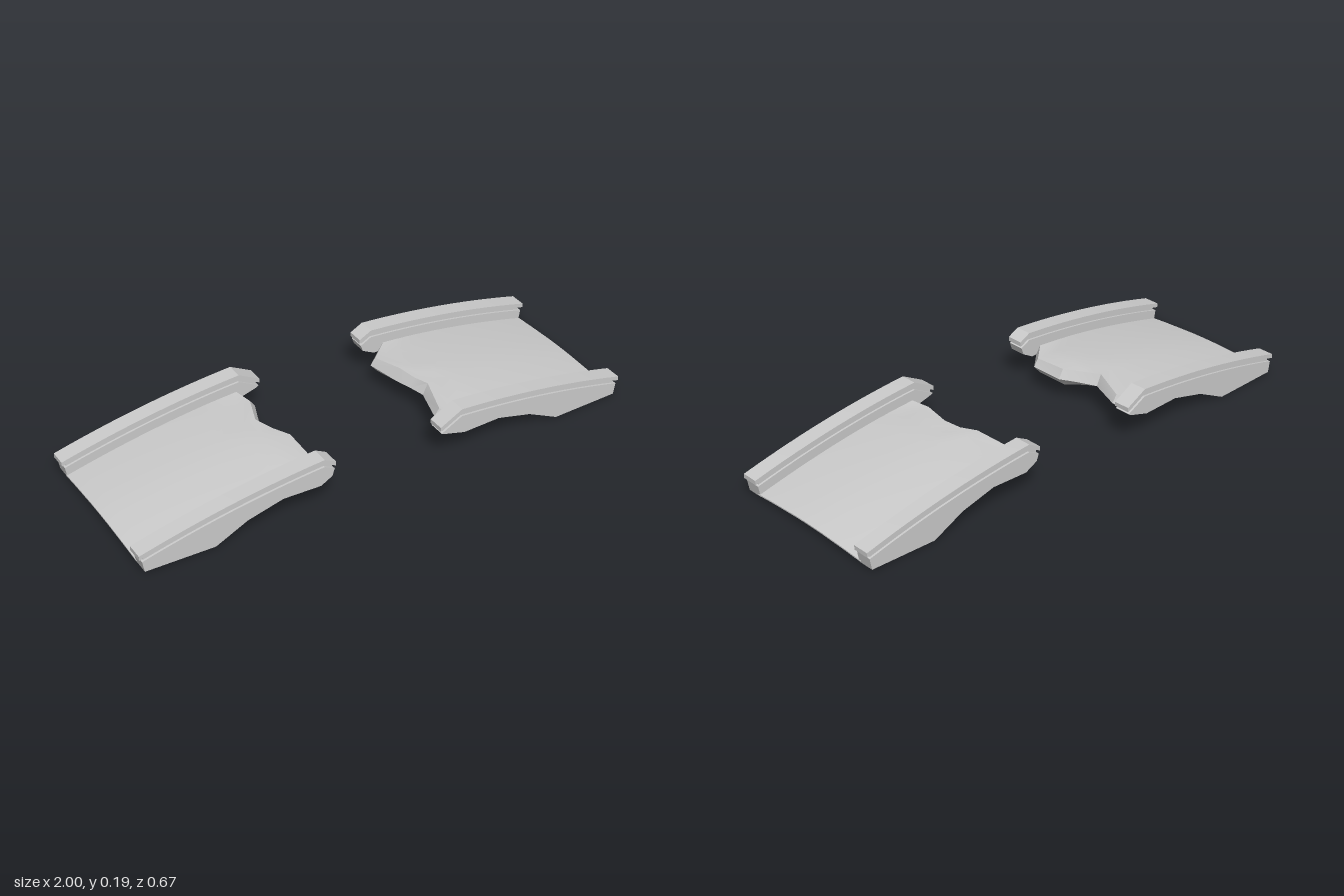
import * as THREE from 'three';
import { toCreasedNormals } from 'three/addons/utils/BufferGeometryUtils.js';

const material = new THREE.MeshStandardMaterial({ color: 0xcccccc });
const PEAK = 0.285;

// Height of the parapet top along the span: a shallow arc that droops past the peak
function topAt(x) {
  if (x < PEAK) return 0.195 - (PEAK - x) * 0.53;
  const t = (1 - x) / (1 - PEAK);
  return 0.08 + 0.115 * (1.57 * t - 0.57 * t * t);
}

// Points running from the outer end to the peak and on to the broken tip
function arc(outer, tip, drop) {
  const pts = [];
  for (let i = 0; i <= 12; i++) {
    const x = outer + (PEAK - outer) * i / 12;
    pts.push([x, topAt(x) - drop]);
  }
  pts.push([tip, topAt(tip) - drop]);
  return pts;
}

function extrude(name, pts, side, z, depth) {
  const shape = new THREE.Shape(pts.map(([x, y]) => new THREE.Vector2(x * side, y)));
  const geo = new THREE.ExtrudeGeometry(shape, { depth, bevelEnabled: false });
  geo.translate(0, 0, z - depth / 2);
  const mesh = new THREE.Mesh(toCreasedNormals(geo, 0.3), material);
  mesh.name = name;
  return mesh;
}

// Parapet: solid wall, recessed joint and coping
function parapet(side, z, tip) {
  const group = new THREE.Group();
  group.name = 'parapet';
  const foot = [[tip + 0.015, 0.115], [0.3, 0.09], [0.45, 0.095], [0.59, 0.06], [0.715, 0], [0.982, 0.008]];
  const band = (a, b, outer, end) => [...arc(outer, end, a), ...arc(outer, end, b).reverse()];
  group.add(
    extrude('parapetWall', [...arc(0.99, tip + 0.005, 0.03), ...foot], side, z, 0.065),
    extrude('parapetJoint', band(0.012, 0.034, 0.982, tip + 0.012), side, z, 0.049),
    extrude('parapetCoping', band(0, 0.017, 1, tip), side, z, 0.065)
  );
  return group;
}

// Underside height of the deck, linear between a few stations
const UNDER = [[0.24, 0.05], [0.275, 0.058], [0.33, 0.077], [0.4, 0.096], [0.45, 0.098], [0.59, 0.063], [0.715, 0.003], [0.985, 0.012]];
function underAt(x) {
  const i = Math.max(1, UNDER.findIndex((p) => p[0] >= x));
  const [a, b] = [UNDER[i - 1], UNDER[i]];
  return a[1] + (b[1] - a[1]) * (x - a[0]) / (b[0] - a[0]);
}

// Deck: cross-sections along z, each running over the top, round the break and back underneath
const ROWS = [-0.28, -0.2, -0.07, 0, 0.065, 0.2, 0.28];
const CREST = [0.128, 0.121, 0.14, 0.13, 0.14, 0.121, 0.128];
function deck(side, edge) {
  const pos = [], index = [], n = 14;
  let ring = 0;
  ROWS.forEach((z, r) => {
    const lip = edge[r], back = lip + 0.02;
    const crown = 0.012 * Math.max(0, 1 - (z / 0.27) ** 2);
    const pts = [];
    for (let i = 0; i <= n; i++) {
      const x = 0.985 + (back - 0.985) * i / n;
      pts.push([x, Math.min(topAt(x) - 0.067 + crown, CREST[r])]);
    }
    pts.push([lip, 0.092]);
    for (const x of [lip + 0.03, 0.4, 0.45, 0.59, 0.715]) pts.push([x, underAt(x)]);
    pts.push([0.985, 0.012 + crown]);
    ring = pts.length;
    for (const [x, y] of pts) pos.push(x * side, y, z);
  });
  const tri = (a, b, c) => (side > 0 ? index.push(a, b, c) : index.push(a, c, b));
  for (let r = 0; r < ROWS.length - 1; r++) {
    for (let k = 0; k < ring; k++) {
      const a = r * ring + k, b = r * ring + (k + 1) % ring;
      tri(a, b, a + ring);
      tri(b, b + ring, a + ring);
    }
  }
  const geo = new THREE.BufferGeometry();
  geo.setAttribute('position', new THREE.Float32BufferAttribute(pos, 3));
  geo.setIndex(index);
  const mesh = new THREE.Mesh(toCreasedNormals(geo, 0.4), material);
  mesh.name = 'deck';
  return mesh;
}

export function createModel() {
  const model = new THREE.Group();
  model.name = 'brokenBridge';
  // Each half: side, broken edge of the deck, parapet tips at the back and front
  const halves = [
    { name: 'leftHalf', side: 1, edge: [0.33, 0.24, 0.265, 0.285, 0.3, 0.26, 0.28], back: 0.235, front: 0.195 },
    { name: 'rightHalf', side: -1, edge: [0.28, 0.26, 0.31, 0.28, 0.245, 0.245, 0.335], back: 0.2, front: 0.24 },
  ];
  for (const h of halves) {
    const half = new THREE.Group();
    half.name = h.name;
    half.add(deck(h.side, h.edge), parapet(h.side, -0.302, h.back), parapet(h.side, 0.302, h.front));
    model.add(half);
  }
  return model;
}
